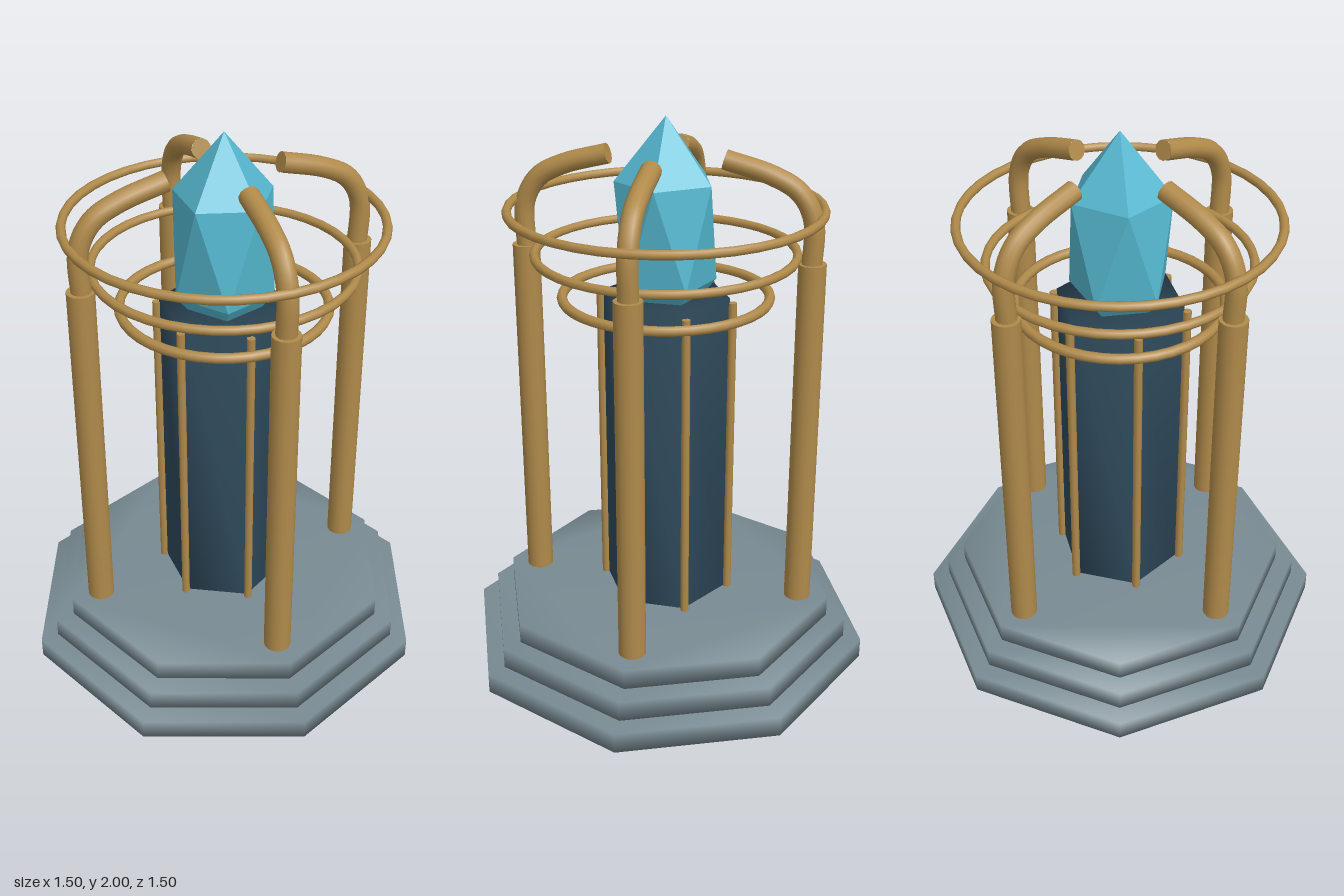
import * as THREE from 'three';
import { mergeVertices } from 'three/addons/utils/BufferGeometryUtils.js';

const material = (color, flatShading = false) => new THREE.MeshStandardMaterial({ color, flatShading });

// Upright regular prism from y0 to y1, with normals blended over its edges
function prismGeometry(sides, radius, y0, y1, turn = 0) {
  const corners = [];
  for (let i = 0; i < sides; i++) {
    const a = turn + (i / sides) * Math.PI * 2;
    corners.push(new THREE.Vector2(radius * Math.cos(a), radius * Math.sin(a)));
  }
  let g = new THREE.ExtrudeGeometry(new THREE.Shape(corners), { depth: y1 - y0, bevelEnabled: false });
  g.rotateX(-Math.PI / 2).translate(0, y0, 0);
  g.deleteAttribute('uv');
  g.deleteAttribute('normal');
  g = mergeVertices(g, 1e-4);
  g.computeVertexNormals();
  return g;
}

export function createModel() {
  const model = new THREE.Group();
  model.name = 'crystalPedestal';
  const stone = material(0x788a92);
  const slate = material(0x2f4a5c);
  const brass = material(0xb08a4a);
  const crystalBlue = material(0x55b8d0, true);

  const add = (parent, name, geometry, mat) => {
    const mesh = new THREE.Mesh(geometry, mat);
    mesh.name = name;
    parent.add(mesh);
    return mesh;
  };

  // Three stepped octagonal tiers
  [[0.75, 0, 0.075], [0.685, 0.083, 0.158], [0.617, 0.165, 0.24]].forEach(([r, y0, y1], i) =>
    add(model, `baseTier${i + 1}`, prismGeometry(8, r, y0, y1), stone));

  // Hexagonal column with a thin rod at each corner
  add(model, 'column', prismGeometry(6, 0.226, 0.24, 1.385, Math.PI / 2), slate);
  for (let i = 0; i < 6; i++) {
    const a = Math.PI / 2 + (i / 6) * Math.PI * 2;
    const rod = add(model, `columnRod${i + 1}`, new THREE.CylinderGeometry(0.015, 0.015, 1.13, 8), brass);
    rod.position.set(0.236 * Math.cos(a), 0.805, 0.236 * Math.sin(a));
  }

  // Four pillars, each with a hooked arm bending in towards the crystal
  const armPath = new THREE.CatmullRomCurve3([
    [0.5, 1.5], [0.5, 1.68], [0.45, 1.77], [0.36, 1.82], [0.2, 1.865],
  ].map(([x, y]) => new THREE.Vector3(x, y, 0)));
  const armGeometry = new THREE.TubeGeometry(armPath, 24, 0.035, 12);
  for (let i = 0; i < 4; i++) {
    const support = new THREE.Group();
    support.name = `support${i + 1}`;
    support.rotation.y = (i * Math.PI) / 2;
    const pillar = add(support, 'pillar', new THREE.CylinderGeometry(0.048, 0.048, 1.29, 16), brass);
    pillar.position.set(0.503, 0.885, 0);
    add(support, 'hookedArm', armGeometry, brass);
    const tip = add(support, 'armTip', new THREE.CircleGeometry(0.035, 12), brass);
    tip.position.copy(armPath.getPoint(1));
    tip.quaternion.setFromUnitVectors(new THREE.Vector3(0, 0, 1), armPath.getTangent(1));
    model.add(support);
  }

  // Three horizontal rings, widening upwards
  [[0.36, 0.018, 1.38], [0.45, 0.016, 1.535], [0.536, 0.016, 1.69]].forEach(([r, tube, y], i) => {
    const ring = add(model, `ring${i + 1}`, new THREE.TorusGeometry(r, tube, 8, 40), brass);
    ring.rotation.x = Math.PI / 2;
    ring.position.y = y;
  });

  // Crystal: a stretched icosahedron standing on one point
  const crystal = new THREE.IcosahedronGeometry(1, 0);
  crystal.rotateZ(-Math.atan(2 / (1 + Math.sqrt(5))));
  crystal.scale(0.196, 0.39, 0.196).translate(0, 1.61, 0);
  crystal.computeVertexNormals();
  add(model, 'crystal', crystal, crystalBlue);

  return model;
}
